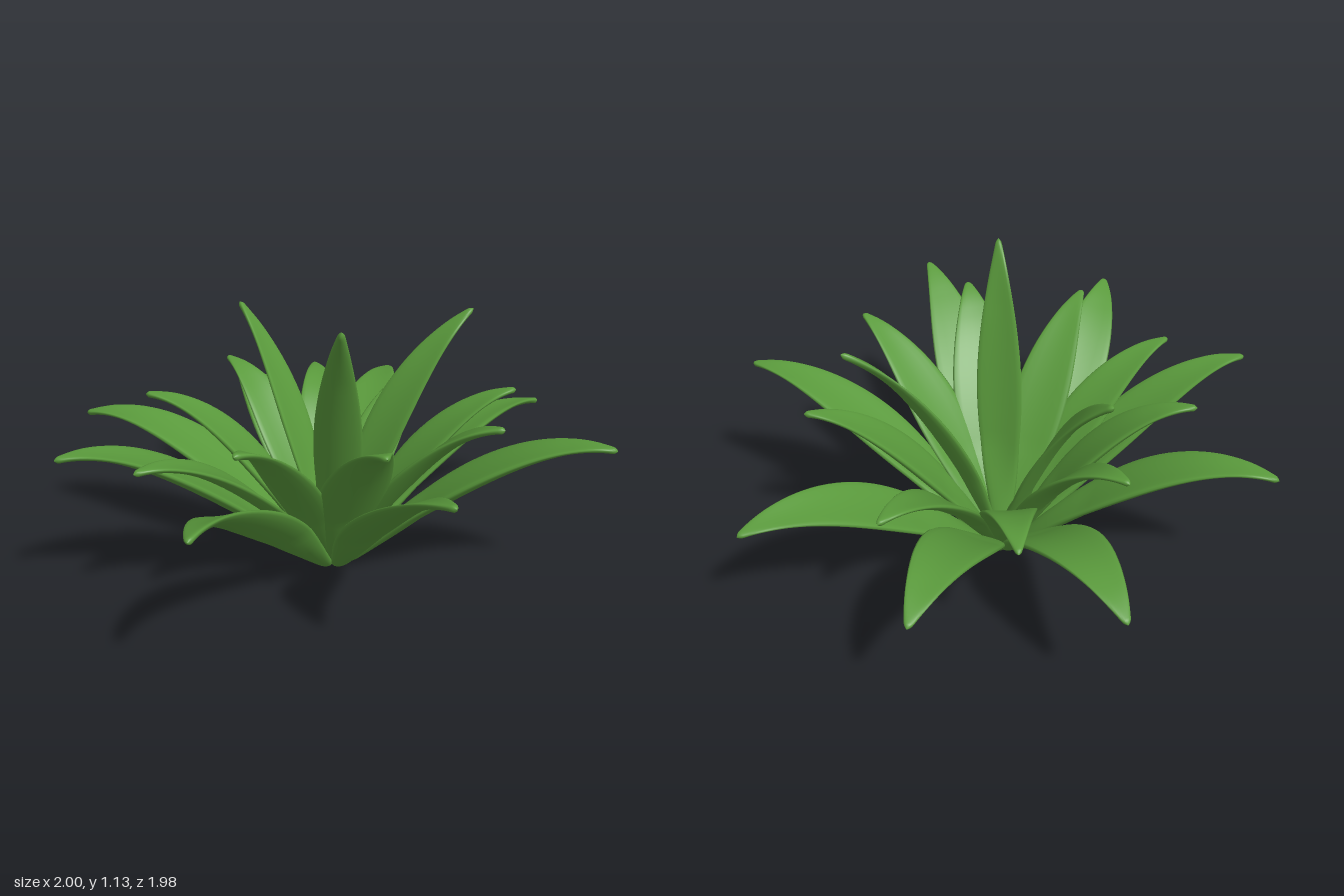
import * as THREE from 'three';

// Each leaf: tip x, y, z, arch height (curve control), arch reach (fraction of span), width factor,
// then optional roll about its length and sideways bend
const OUTER = [
  [-0.20, 0.43, -0.99, 0.63, 0.6, 1.0], [0.48, 0.45, -0.90, 0.61, 0.6, 0.95, 0.15],
  [1.0, 0.46, -0.37, 0.59, 0.6, 0.95, 0.22], [0.93, 0.64, 0.49, 0.70, 0.63, 1.0],
  [0.16, 0.78, 0.99, 0.72, 0.68, 0.94, 0, 0.04], [-0.61, 0.69, 0.86, 0.69, 0.65, 1.0, -0.32, 0.11],
  [-1.0, 0.65, 0.16, 0.72, 0.65, 0.95], [-0.89, 0.53, -0.50, 0.66, 0.62, 0.97],
];
const MIDDLE = [
  [0.53, 0.58, -0.54, 0.62, 0.55, 0.83], [0.74, 0.69, 0.0, 0.68, 0.57, 0.88],
  [0.48, 0.79, 0.54, 0.74, 0.58, 0.92], [0.03, 0.81, 0.70, 0.77, 0.62, 1.0],
  [-0.43, 0.80, 0.56, 0.75, 0.6, 0.9], [-0.74, 0.66, 0.34, 0.70, 0.6, 0.85],
  [-0.66, 0.70, -0.24, 0.71, 0.55, 0.88], [-0.30, 0.68, -0.61, 0.69, 0.53, 0.83],
  [0.10, 0.56, -0.75, 0.64, 0.55, 0.8],
];
const INNER = [
  [-0.25, 0.94, -0.54, 0.78, 0.48, 0.77, -0.42], [0.59, 0.99, -0.12, 0.80, 0.42, 0.76, -0.25],
  [-0.05, 1.13, 0.41, 0.90, 0.62, 0.76, 0.5],
];
const CENTRE = new THREE.Vector3(0.02, 0, -0.02);

// Half width along the leaf: narrow foot, broad middle, pointed tip
const STATIONS = [[0, 0.001], [0.01, 0.03], [0.04, 0.045], [0.12, 0.066], [0.2, 0.086], [0.3, 0.107],
  [0.4, 0.123], [0.5, 0.129], [0.6, 0.123], [0.7, 0.106], [0.78, 0.086], [0.85, 0.065],
  [0.91, 0.045], [0.96, 0.026], [0.988, 0.014], [1, 0.001]];
const profile = new THREE.SplineCurve(STATIONS.map(([t, w]) => new THREE.Vector2(t, w)));

// Sweep a cupped, lens-shaped section along an arching path
function leafGeometry([x, y, z, archY, reach, width, roll = 0, bend = 0], baseRadius, baseY) {
  const rows = 45, sides = 18;
  const tip = new THREE.Vector3(x, y, z);
  const out = tip.clone().sub(CENTRE).setY(0).normalize();
  const level = new THREE.Vector3(-out.z, 0, out.x);
  const base = CENTRE.clone().addScaledVector(out, baseRadius).setY(baseY);
  const control = base.clone().lerp(tip, reach).setY(archY).addScaledVector(level, bend);
  const path = new THREE.QuadraticBezierCurve3(base, control, tip);
  const positions = [], index = [];
  for (let i = 0; i <= rows; i++) {
    const station = profile.getPoint(i / rows);
    const t = THREE.MathUtils.clamp(station.x, 0, 1);
    const w = Math.max(station.y, 0.0008) * width;
    const centre = path.getPointAt(t);
    const tangent = path.getTangentAt(t);
    // Roll grows from the foot to the middle of the leaf
    const up = level.clone().cross(tangent).normalize()
      .applyAxisAngle(tangent, -roll * Math.min(1, t * 3));
    const side = tangent.clone().cross(up);
    const thick = Math.min(w, Math.max(0.012, w * THREE.MathUtils.lerp(0.5, 0.19, Math.min(1, t * 3))));
    const cup = w * 0.2 * Math.min(1, t * 4);
    for (let j = 0; j < sides; j++) {
      const a = (j / sides) * Math.PI * 2, c = Math.cos(a), s = Math.sin(a);
      const p = centre.clone().addScaledVector(side, c * w)
        .addScaledVector(up, s * thick + cup * (c * c - 0.45));
      positions.push(p.x, p.y, p.z);
      if (i < rows) {
        const k = i * sides + j, n = i * sides + (j + 1) % sides;
        index.push(k, k + sides, n, k + sides, n + sides, n);
      }
    }
  }
  const geometry = new THREE.BufferGeometry();
  geometry.setAttribute('position', new THREE.Float32BufferAttribute(positions, 3));
  geometry.setIndex(index);
  geometry.computeVertexNormals();
  return geometry;
}

export function createModel() {
  const model = new THREE.Group();
  model.name = 'rosettePlant';
  const green = new THREE.MeshStandardMaterial({ color: 0x5a9a3c });
  green.name = 'leafGreen';

  // Three whorls of leaves
  const whorls = [['outerLeaf', OUTER, 0.07, 0.026], ['middleLeaf', MIDDLE, 0.04, 0.025], ['innerLeaf', INNER, 0.015, 0.025]];
  for (const [name, leaves, radius, height] of whorls) {
    const whorl = new THREE.Group();
    whorl.name = name + 'Whorl';
    leaves.forEach((leaf, i) => {
      const mesh = new THREE.Mesh(leafGeometry(leaf, radius, height), green);
      mesh.name = name + (i + 1);
      whorl.add(mesh);
    });
    model.add(whorl);
  }

  // Small stem stub under the leaves
  const stub = new THREE.Mesh(new THREE.SphereGeometry(0.03, 16, 10), green);
  stub.name = 'stemStub';
  stub.position.set(CENTRE.x, 0.03, CENTRE.z);
  model.add(stub);
  return model;
}
